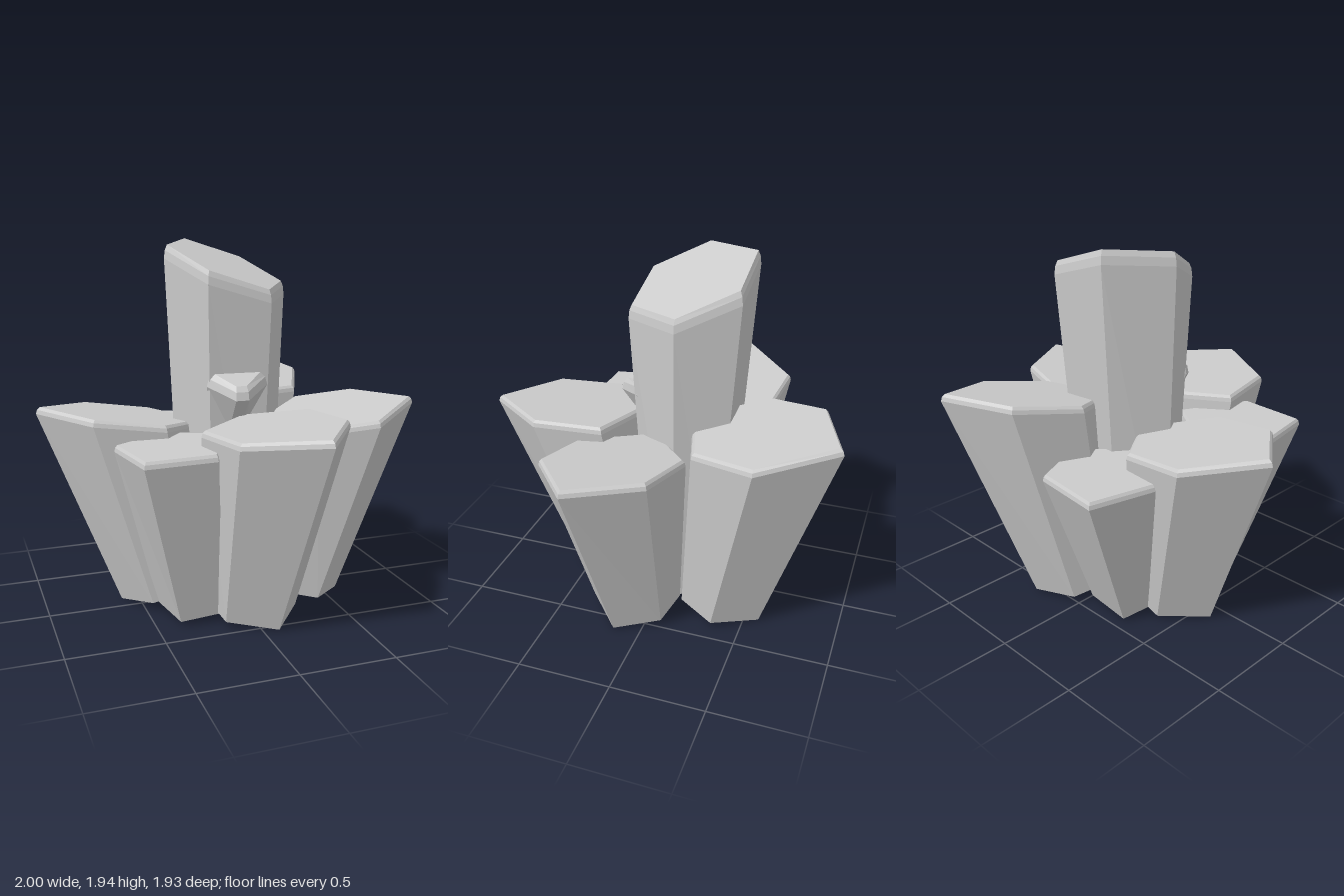
import * as THREE from 'three';

// Tapered crystal: corners are [x, z] of the widest ring, clockwise from above.
// h is the tip height at the centre, slope tilts the tip, base is the centre of the foot at height footY.
const CRYSTALS = [
  { name: 'centralCrystal', h: 1.84, slope: [-0.3, -0.27], base: [0.02, -0.09], taper: 0.78, drop: 0.07,
    corners: [[-0.13, -0.41], [0.21, -0.41], [0.36, -0.12], [0.17, 0.18], [-0.17, 0.18], [-0.32, -0.10]] },
  { name: 'leftCrystal', h: 1.065, slope: [0.13, -0.06], base: [0.35, 0.1],
    corners: [[0.47, -0.22], [0.80, -0.14], [1.0, 0.21], [0.66, 0.48], [0.34, 0.41], [0.14, 0.05]] },
  { name: 'frontCrystal', h: 1.09, slope: [0.07, 0.02], base: [0.03, 0.31],
    corners: [[0.01, 0.17], [0.36, 0.27], [0.41, 0.63], [0.17, 0.96], [-0.21, 0.76], [-0.28, 0.40]] },
  { name: 'rightCrystal', h: 1.055, slope: [-0.13, 0.03], base: [-0.335, -0.09],
    corners: [[-0.70, -0.49], [-0.33, -0.45], [-0.10, -0.13], [-0.39, 0.18], [-0.76, 0.14], [-1.0, -0.18]] },
  { name: 'backLeftCrystal', h: 1.19, slope: [-0.06, -0.17], base: [0.18, -0.34],
    corners: [[0.05, -0.83], [0.44, -0.97], [0.64, -0.59], [0.49, -0.25], [0.11, -0.14], [-0.09, -0.50]] },
  { name: 'backRightCrystal', h: 0.92, slope: [0, 0], base: [-0.16, -0.29],
    corners: [[-0.45, -0.80], [-0.07, -0.76], [0.07, -0.45], [-0.22, -0.2], [-0.54, -0.42]] },
  { name: 'frontRightCrystal', h: 0.98, slope: [0.02, 0], base: [-0.26, 0.19],
    corners: [[-0.36, 0.02], [-0.08, 0.2], [-0.25, 0.58], [-0.61, 0.58], [-0.67, 0.2]] },
  { name: 'smallCrystal', h: 1.3, slope: [0, -0.4], base: [0, -0.1], footY: 0.8, taper: 0.6, inset: 0.2, drop: 0.07,
    corners: [[-0.12, 0], [0.1, 0], [0.18, 0.14], [0.01, 0.29], [-0.06, 0.29], [-0.17, 0.15]] },
];

function crystalGeometry({ corners, h, slope, base, footY = 0.08, taper = 0.68, inset = 0.05, drop = 0.035 }) {
  const n = corners.length;
  const cx = corners.reduce((s, c) => s + c[0], 0) / n;
  const cz = corners.reduce((s, c) => s + c[1], 0) / n;
  const tilt = new THREE.Vector2(cx - base[0], cz - base[1]);
  const lean = tilt.clone().normalize();
  const offsets = corners.map(([x, z]) => new THREE.Vector2(x - cx, z - cz));

  // Open foot, cut square to the leaning axis and narrower along the lean
  const foot = offsets.map((o) => {
    const p = o.clone().multiplyScalar(taper).addScaledVector(lean, -0.12 * o.dot(lean));
    return [base[0] + p.x, footY - p.dot(tilt), base[1] + p.y];
  });
  // Sloping tip ring, shrunk by s and lowered by d
  const tipRing = (s, d) => offsets.map(({ x, y: z }) => [
    cx + x * s, h + slope[0] * x + slope[1] * z - d, cz + z * s]);
  const rings = [foot, tipRing(1, drop), tipRing(1 - inset * 0.3, drop * 0.4), tipRing(1 - inset, 0)];

  const positions = [];
  const tri = (...pts) => pts.forEach((p) => positions.push(...p));
  const last = rings.length - 1;
  for (let i = 0; i < n; i++) {
    const j = (i + 1) % n;
    for (let k = 0; k < last; k++) {
      const a = rings[k], b = rings[k + 1];
      tri(a[i], b[i], b[j]);
      tri(a[i], b[j], a[j]);
    }
    tri([cx, h, cz], rings[last][j], rings[last][i]);
  }
  const geometry = new THREE.BufferGeometry();
  geometry.setAttribute('position', new THREE.Float32BufferAttribute(positions, 3));
  geometry.computeVertexNormals();
  return geometry;
}

export function createModel() {
  const group = new THREE.Group();
  group.name = 'crystalCluster';
  // Crystals are hollow shells, open underneath
  const material = new THREE.MeshStandardMaterial({
    color: 0xcccccc, flatShading: true, side: THREE.DoubleSide });
  for (const crystal of CRYSTALS) {
    const mesh = new THREE.Mesh(crystalGeometry(crystal), material);
    mesh.name = crystal.name;
    group.add(mesh);
  }
  return group;
}
